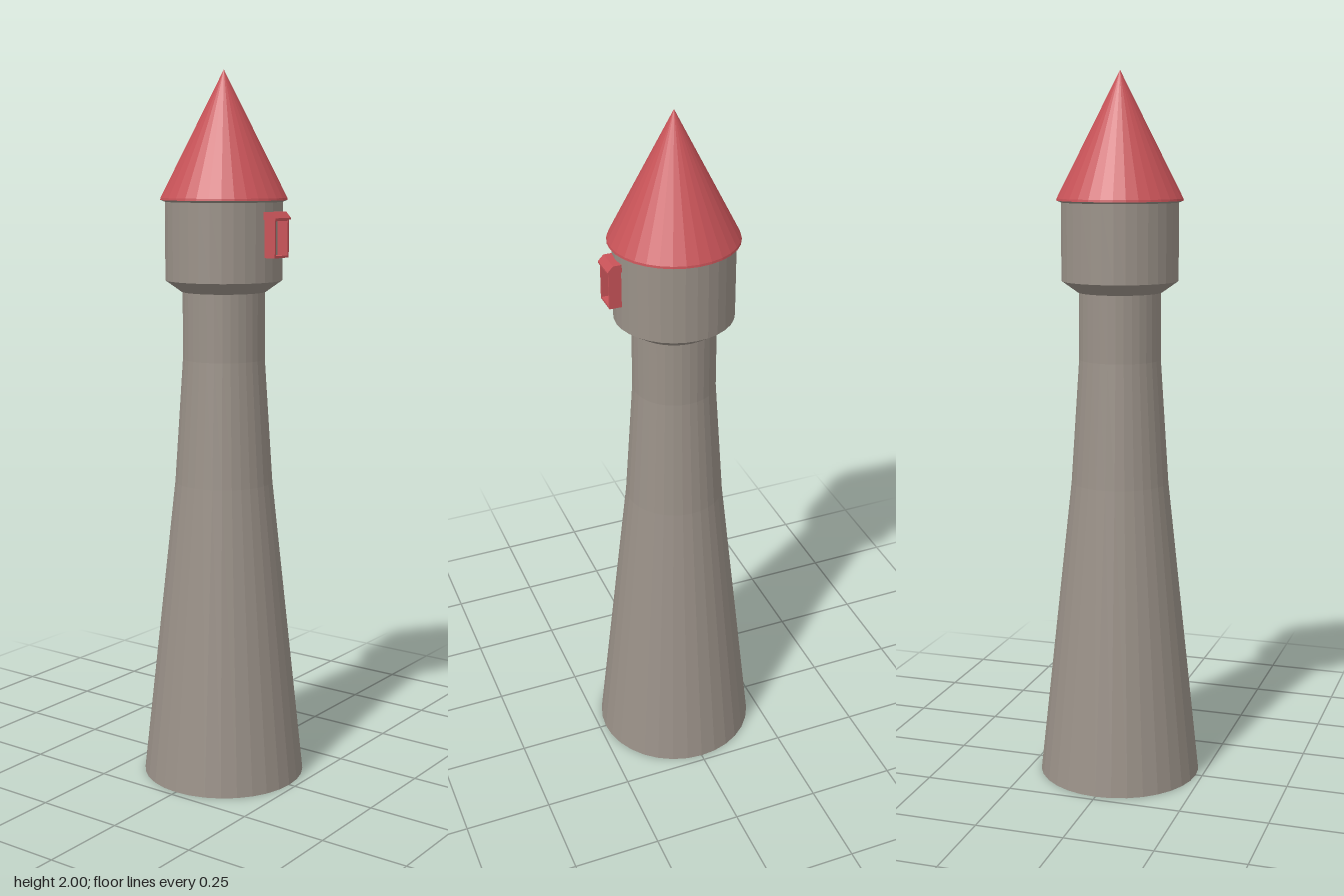
import * as THREE from 'three';

const SIDES = 32;

export function createModel() {
  const stone = new THREE.MeshStandardMaterial({ color: 0x9a9188, flatShading: true });
  stone.name = 'warm grey stone';
  const red = new THREE.MeshStandardMaterial({ color: 0xc85358, flatShading: true });
  red.name = 'red tile';

  const model = new THREE.Group();
  model.name = 'tower';
  const add = (name, geometry, material, parent = model) => {
    const mesh = new THREE.Mesh(geometry, material);
    mesh.name = name;
    parent.add(mesh);
    return mesh;
  };
  const lathe = (points) =>
    new THREE.LatheGeometry(points.map(([r, y]) => new THREE.Vector2(r, y)), SIDES);

  // Tapering shaft, closed at the foot
  add('shaft', lathe([[0, 0], [0.231, 0], [0.138, 0.86], [0.115, 1.21], [0.115, 1.41]]), stone);

  // Wider top chamber with a sloped underside and a thin eave ledge
  add('topChamber', lathe([
    [0.11, 1.398], [0.118, 1.398], [0.163, 1.43], [0.163, 1.645], [0.175, 1.65], [0, 1.65],
  ]), stone);

  // Conical roof
  add('roof', lathe([[0.176, 1.65], [0.175, 1.656], [0, 2]]), red);

  // Window surround on the left side: a hollow frame standing out from the wall
  const window = new THREE.Group();
  window.name = 'windowSurround';
  model.add(window);
  const w = 0.034, t = 0.006, bottom = 1.497, top = 1.602;
  const outline = new THREE.Shape();
  outline.moveTo(-w, bottom);
  outline.lineTo(w, bottom);
  outline.lineTo(w, top);
  outline.lineTo(-w, top);
  outline.closePath();
  const opening = new THREE.Path();
  opening.moveTo(-w + t, bottom + t);
  opening.lineTo(-w + t, top - t);
  opening.lineTo(w - t, top - t);
  opening.lineTo(w - t, bottom + t);
  opening.closePath();
  outline.holes.push(opening);
  const frame = new THREE.ExtrudeGeometry(outline, { depth: 0.038, bevelEnabled: false });
  frame.rotateY(Math.PI / 2).translate(0.155, 0, 0);
  add('windowFrame', frame, red, window);

  // Sloped hood over the window
  const profile = new THREE.Shape();
  profile.moveTo(0.155, 1.599);
  profile.lineTo(0.197, 1.599);
  profile.lineTo(0.197, 1.604);
  profile.lineTo(0.182, 1.62);
  profile.lineTo(0.155, 1.62);
  profile.closePath();
  const hood = new THREE.ExtrudeGeometry(profile, { depth: 0.074, bevelEnabled: false });
  hood.translate(0, 0, -0.037);
  add('windowHood', hood, red, window);

  return model;
}
